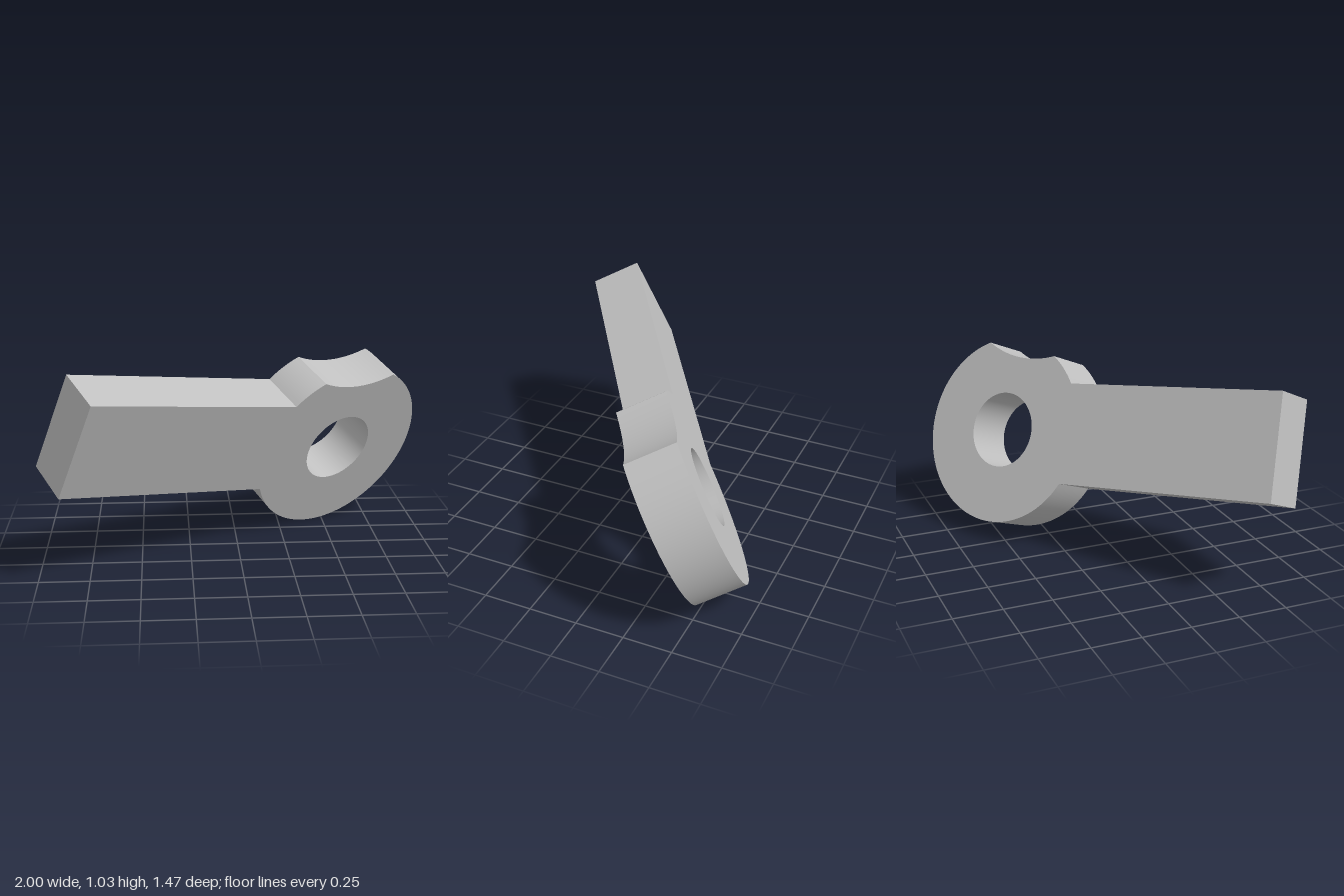
import * as THREE from 'three';
import { toCreasedNormals } from 'three/addons/utils/BufferGeometryUtils.js';

const R = 0.497;          // eye outer radius
const HOLE = 0.2;         // bore radius
const HALF = 0.262;       // half width of the shank
const LENGTH = 1.637;     // bore centre to shank end
const DEPTH = 0.262;      // plate thickness

// Points along an arc, end points included
function arc(cx, cy, r, from, to, steps) {
  return Array.from({ length: steps + 1 }, (_, i) => {
    const a = from + (to - from) * i / steps;
    return new THREE.Vector2(cx + r * Math.cos(a), cy + r * Math.sin(a));
  });
}

export function createModel() {
  const group = new THREE.Group();
  group.name = 'rodEnd';
  const grey = new THREE.MeshStandardMaterial({ color: 0xbfbfbf });
  grey.name = 'grey';

  // Shallow round notch in the rim of the eye
  const axis = THREE.MathUtils.degToRad(98.75);
  const spread = THREE.MathUtils.degToRad(26.95);
  const notchR = 0.6;
  const notchSpread = Math.asin(R * Math.sin(spread) / notchR);
  const notchDist = R * Math.cos(spread) + notchR * Math.cos(notchSpread);

  // Outline: straight shank running into the eye
  const join = Math.asin(HALF / R);
  const outline = [
    new THREE.Vector2(-LENGTH, -HALF),
    ...arc(0, 0, R, join - Math.PI, axis - spread, 80),
    ...arc(notchDist * Math.cos(axis), notchDist * Math.sin(axis), notchR,
      axis + Math.PI + notchSpread, axis + Math.PI - notchSpread, 16).slice(1, -1),
    ...arc(0, 0, R, axis + spread, Math.PI - join, 8),
    new THREE.Vector2(-LENGTH, HALF),
  ];
  const shape = new THREE.Shape(outline);
  shape.holes.push(new THREE.Path(arc(0, 0, HOLE, 0, -2 * Math.PI, 64).slice(0, -1)));

  let geometry = new THREE.ExtrudeGeometry(shape, { depth: DEPTH, bevelEnabled: false });
  geometry = toCreasedNormals(geometry.translate(0, 0, -DEPTH), 0.35);

  // Tilt the plate into its resting pose
  const along = new THREE.Vector3(0.8251, -0.1413, -0.547).normalize();
  const normal = along.clone().cross(new THREE.Vector3(0.33, 0.906, 0.263)).normalize();
  const across = normal.clone().cross(along);
  const pose = new THREE.Matrix4().makeBasis(along, across, normal).setPosition(0.559, 0.456, -0.23);
  geometry.applyMatrix4(pose);

  const body = new THREE.Mesh(geometry, grey);
  body.name = 'shankAndEye';
  group.add(body);
  return group;
}
